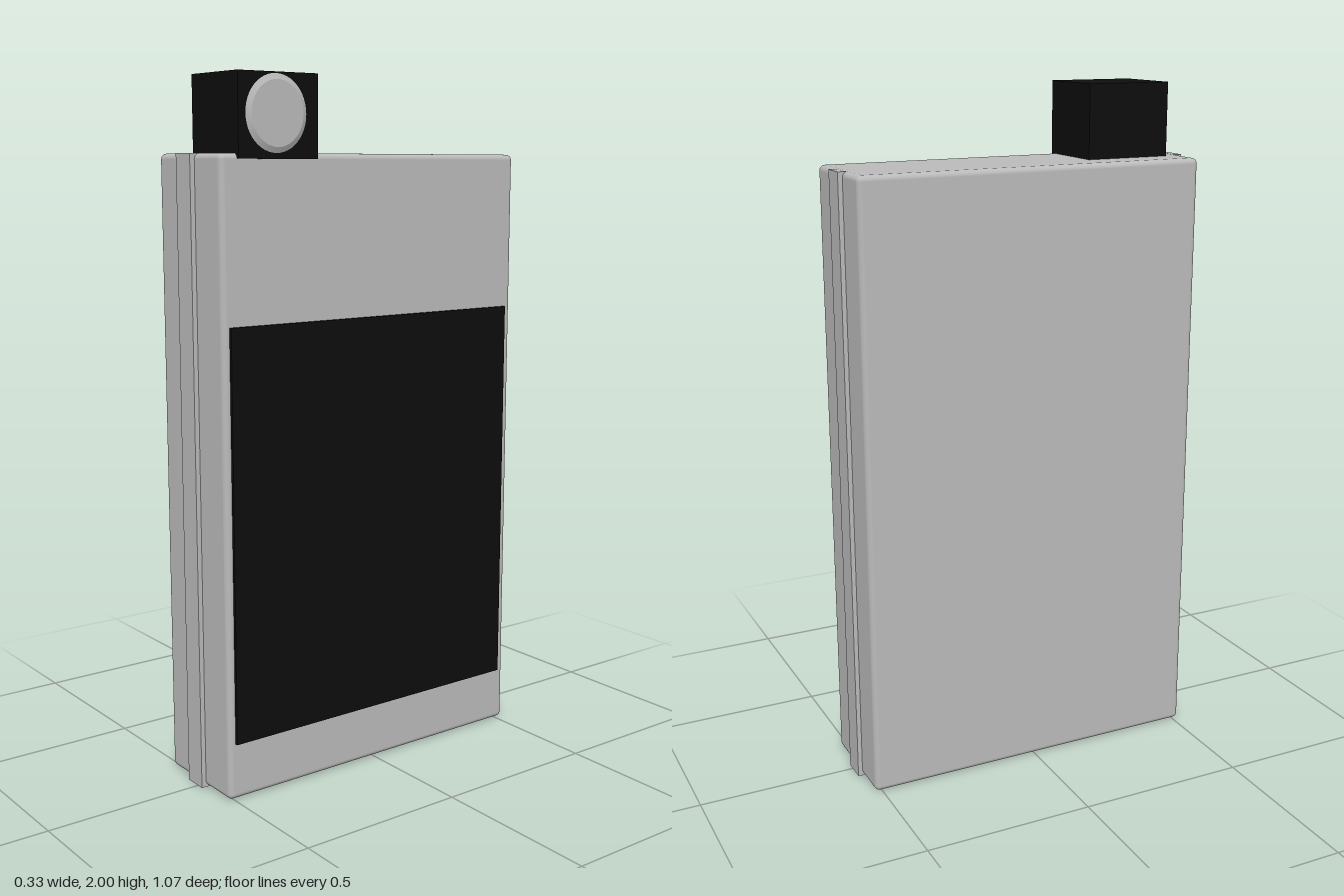
import * as THREE from 'three';
import { RoundedBoxGeometry } from 'three/addons/geometries/RoundedBoxGeometry.js';

export function createModel() {
  const model = new THREE.Group();
  model.name = 'handheldCamera';
  const grey = new THREE.MeshStandardMaterial({ color: 0xbababa });
  grey.name = 'lightGrey';
  const black = new THREE.MeshStandardMaterial({ color: 0x0d0d0d });
  black.name = 'black';

  const add = (name, geometry, material, x, y, z) => {
    const mesh = new THREE.Mesh(geometry, material);
    mesh.name = name;
    mesh.position.set(x, y, z);
    model.add(mesh);
    return mesh;
  };
  // Box given by its limits on each axis
  const box = (name, material, [x0, x1], [y0, y1], [z0, z1], radius = 0) => {
    const size = [x1 - x0, y1 - y0, z1 - z0];
    const geometry = radius
      ? new RoundedBoxGeometry(...size, 3, radius)
      : new THREE.BoxGeometry(...size);
    return add(name, geometry, material, (x0 + x1) / 2, (y0 + y1) / 2, (z0 + z1) / 2);
  };

  // Slab body with softened edges
  box('body', grey, [-0.165, 0.15], [0.003, 1.79], [-0.522, 0.518], 0.016);

  // Raised strip down each narrow edge
  box('frontStrip', grey, [-0.05, 0.022], [0, 1.79], [0.505, 0.532]);
  box('backStrip', grey, [-0.05, 0.022], [0, 1.79], [-0.535, -0.51]);

  // Screen on the broad face
  box('screen', black, [0.145, 0.159], [0.168, 1.335], [-0.492, 0.497]);

  // Camera block on top
  box('cameraBlock', black, [-0.07, 0.157], [1.775, 2], [0.21, 0.466]);

  // Shallow lens disc facing sideways, slightly taller than wide
  const lens = add('lens', new THREE.CylinderGeometry(0.085, 0.1, 0.008, 48), grey, 0.161, 1.893, 0.346);
  lens.rotation.z = -Math.PI / 2;
  lens.scale.set(1.03, 1, 0.97);

  return model;
}
